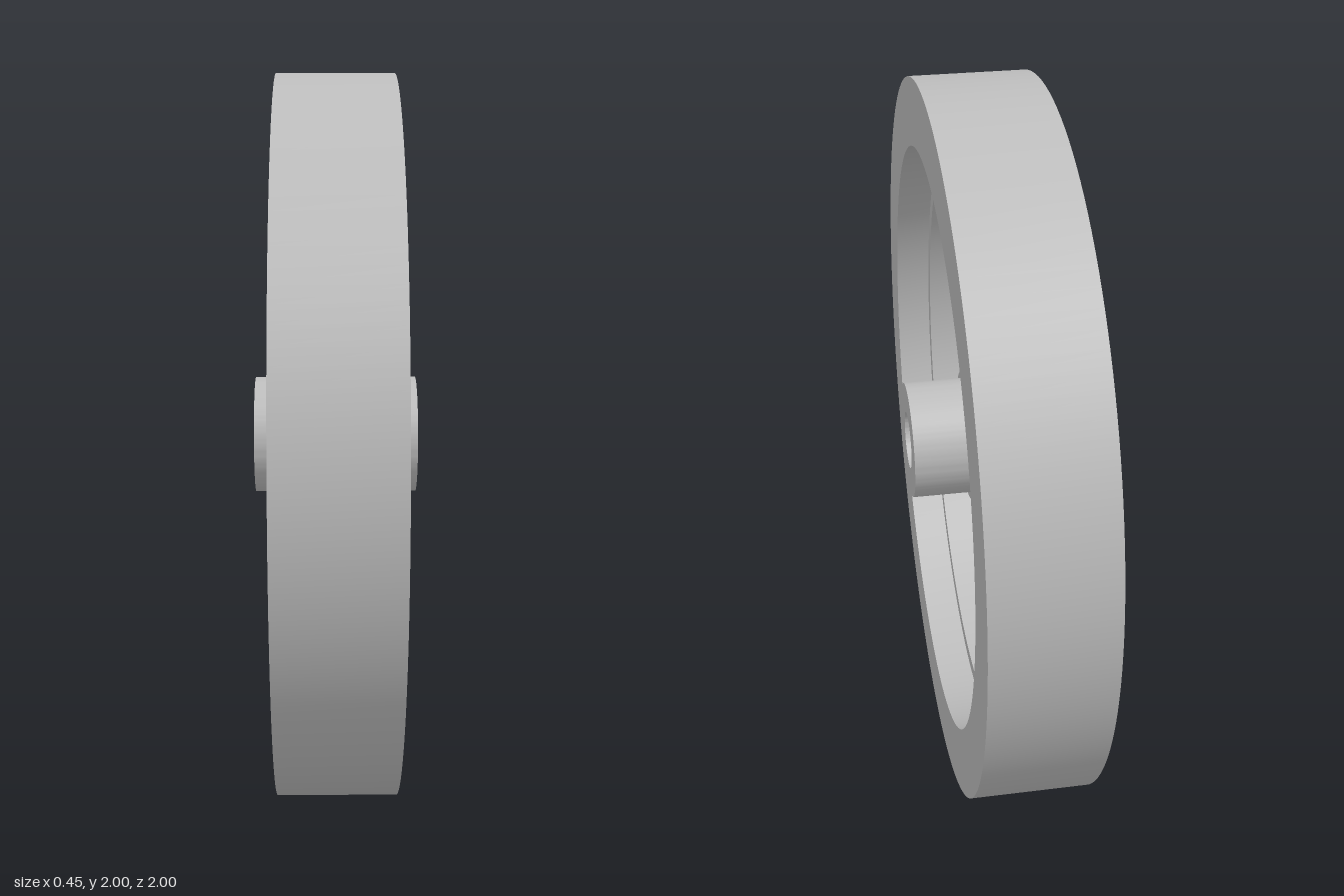
import * as THREE from 'three';
import { toCreasedNormals } from 'three/addons/utils/BufferGeometryUtils.js';

// Turned part around the x axis from a closed [radius, x] profile, with crisp edges
function turned(name, profile, material) {
  const points = [...profile, profile[0]].map(([r, x]) => new THREE.Vector2(r, x));
  const geometry = toCreasedNormals(new THREE.LatheGeometry(points, 128), 0.6);
  geometry.rotateZ(-Math.PI / 2);
  const mesh = new THREE.Mesh(geometry, material);
  mesh.name = name;
  return mesh;
}

// Symmetric profile: plain wall on one side, a raised step of half width s on the other
export function createModel() {
  const model = new THREE.Group();
  model.name = 'wheel';
  const grey = new THREE.MeshStandardMaterial({ color: 0xc0c0c0 });
  grey.name = 'grey';

  const wheel = new THREE.Group();
  wheel.name = 'wheelAssembly';
  wheel.position.y = 1;
  model.add(wheel);

  const step = 0.06; // half width of the inner ring, collar and spoke

  // Rim with a raised ring on its inside
  wheel.add(turned('rim', [
    [0.815, -0.16], [1, -0.16], [1, 0.16], [0.815, 0.16],
    [0.815, step], [0.777, step], [0.777, -step], [0.815, -step],
  ], grey));

  // Bored hub with a collar around its middle
  wheel.add(turned('hub', [
    [0.08, -0.225], [0.162, -0.225], [0.162, -step], [0.182, -step],
    [0.182, step], [0.162, step], [0.162, 0.225], [0.08, 0.225],
  ], grey));

  // Single spoke from the collar back to the ring
  const spoke = new THREE.Mesh(new THREE.BoxGeometry(step * 2, 0.06, 0.62), grey);
  spoke.name = 'spoke';
  spoke.position.z = -0.48;
  wheel.add(spoke);

  return model;
}
